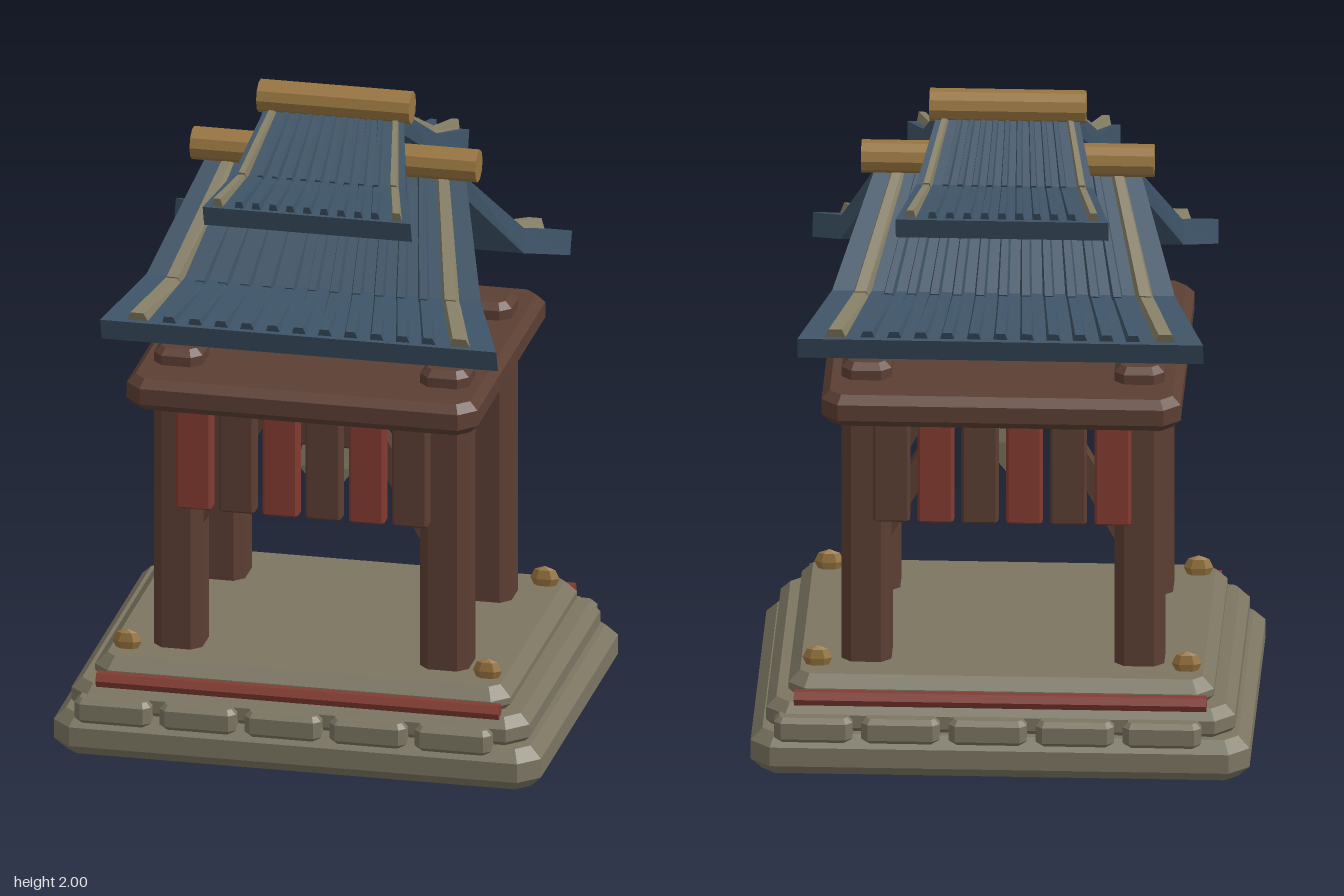
import * as THREE from 'three';

const mat = (name, color) => {
  const m = new THREE.MeshStandardMaterial({ color });
  m.name = name;
  return m;
};

export function createModel() {
  const stone = mat('stone', 0x7b7561);
  const wood = mat('dark wood', 0x5c3f33);
  const red = mat('red paint', 0x843b31);
  const tile = mat('blue tile', 0x3d5366);
  const trim = mat('pale trim', 0x878067);
  const gold = mat('gold', 0x987540);

  const model = new THREE.Group();
  model.name = 'shrine';

  const add = (parent, name, geo, material, x = 0, y = 0, z = 0) => {
    const mesh = new THREE.Mesh(geo, material);
    mesh.name = name;
    mesh.position.set(x, y, z);
    parent.add(mesh);
    return mesh;
  };

  const faceted = (geo) => {
    const g = geo.toNonIndexed();
    g.computeVertexNormals();
    return g;
  };

  // Block with cut corners and bevelled top and bottom, standing on y = 0
  const block = (w, h, d, cut, bevel) => {
    const a = w / 2, b = d / 2;
    const shape = new THREE.Shape([
      [a - cut, -b], [a, -b + cut], [a, b - cut], [a - cut, b],
      [-a + cut, b], [-a, b - cut], [-a, -b + cut], [-a + cut, -b],
    ].map(([x, y]) => new THREE.Vector2(x, y)));
    const g = new THREE.ExtrudeGeometry(shape, {
      depth: h - 2 * bevel, bevelEnabled: true, bevelSegments: 1,
      bevelSize: bevel, bevelThickness: bevel, bevelOffset: -bevel,
    });
    return g.translate(0, 0, bevel).rotateX(-Math.PI / 2);
  };

  // Solid through cross-section loops, capped at both ends
  const loft = (rows) => {
    const pos = [];
    const tri = (...pts) => pts.forEach((p) => pos.push(...p));
    const n = rows[0].length;
    for (let i = 0; i + 1 < rows.length; i++) {
      for (let j = 0; j < n; j++) {
        const k = (j + 1) % n;
        tri(rows[i][j], rows[i][k], rows[i + 1][k]);
        tri(rows[i][j], rows[i + 1][k], rows[i + 1][j]);
      }
    }
    const first = rows[0], last = rows[rows.length - 1];
    for (let j = 1; j + 1 < n; j++) {
      tri(first[0], first[j + 1], first[j]);
      tri(last[0], last[j], last[j + 1]);
    }
    const g = new THREE.BufferGeometry();
    g.setAttribute('position', new THREE.Float32BufferAttribute(pos, 3));
    g.computeVertexNormals();
    return g;
  };

  // Stepped base
  add(model, 'baseSlab', block(1.5, 0.13, 1.17, 0.06, 0.035), stone);
  add(model, 'baseStep', block(1.41, 0.1, 1.08, 0.06, 0.03), stone, 0, 0.115);
  add(model, 'floor', block(1.28, 0.09, 1.0, 0.05, 0.035), stone, 0, 0.2);

  // Front and back trim of the base, banners
  for (const side of [1, -1]) {
    for (let i = 0; i < 5; i++) {
      add(model, 'faceStone', block(0.235, 0.08, 0.09, 0.02, 0.015), stone,
        side * (-0.56 + i * 0.262), 0.107, side * 0.54);
    }
    const rail = faceted(new THREE.CylinderGeometry(0.025, 0.025, 1.24, 6).rotateZ(Math.PI / 2));
    add(model, 'baseRail', rail, red, 0, 0.23, side * 0.51);
    for (let i = 0; i < 6; i++) {
      add(model, 'banner', block(0.11, 0.33, 0.055, 0.008, 0.006), i % 2 ? wood : red,
        -0.335 + i * 0.133, 0.78, side * 0.433);
    }
  }

  // Four posts with caps, braces and corner studs
  for (const sx of [1, -1]) {
    for (const sz of [1, -1]) {
      add(model, 'post', block(0.15, 0.85, 0.15, 0.03, 0.005), wood, sx * 0.41, 0.27, sz * 0.29);
      add(model, 'postCap', block(0.15, 0.07, 0.15, 0.03, 0.02), wood, sx * 0.41, 1.18, sz * 0.29);
      const brace = add(model, 'brace', new THREE.BoxGeometry(0.06, 0.56, 0.06), wood,
        sx * 0.25, 0.9, sz * 0.29);
      brace.rotation.z = sx * 0.5;
      const stud = faceted(new THREE.SphereGeometry(0.045, 6, 4).scale(1, 0.85, 0.4));
      add(model, 'cornerStud', stud, gold, sx * 0.555, 0.313, sz * 0.39);
    }
  }
  add(model, 'topPlate', block(1.08, 0.1, 1.02, 0.05, 0.025), wood, 0, 1.1);

  // Hanging beam, pendant and gold plate
  add(model, 'hangingBeam', block(0.34, 0.21, 0.075, 0.01, 0.008), wood, 0, 0.9, 0.133);
  const pendant = faceted(new THREE.CylinderGeometry(0.08, 0.1, 0.1, 6));
  add(model, 'pendant', pendant.scale(1, 1, 0.2), trim, 0, 0.87, 0.12);
  const tip = faceted(new THREE.ConeGeometry(0.1, 0.115, 6).rotateX(Math.PI));
  add(model, 'pendantTip', tip.scale(1, 1, 0.2), trim, 0, 0.763, 0.12);
  add(model, 'goldPlate', new THREE.BoxGeometry(0.1, 0.12, 0.009), gold, 0, 1.03, 0.188);

  // Roof tier: each section is [top z, top y, bottom z, bottom y, half width]
  const roof = (name, sections, ribs, hip, logY, logHalf) => {
    const tier = new THREE.Group();
    tier.name = name;
    const mix = (a, b, t) => a.map((v, i) => v + (b[i] - v) * t);
    const slab = loft(sections.map(([z, y, zb, yb, w]) =>
      [[-w, yb, zb], [w, yb, zb], [w, y, z], [-w, y, z]]));

    // Raised strip on one stretch of the slope; u is the place across the width
    const rib = (from, to, u, half, h0, h1) => loft([[from, h0], [to, h1]].map(([s, h]) => {
      const [z, y, zb, yb, w] = s;
      const len = Math.hypot(z - zb, y - yb);
      const nz = (z - zb) / len, ny = (y - yb) / len;
      const c = u * w, r = half * w;
      const low = [y - ny * 0.006, z - nz * 0.006], top = [y + ny * h, z + nz * h];
      return [[c - r, ...low], [c + r, ...low], [c + r * 0.6, ...top], [c - r * 0.6, ...top]];
    }));

    for (const turn of [0, Math.PI]) {
      const slope = new THREE.Group();
      slope.name = 'roofSlope';
      slope.rotation.y = turn;
      tier.add(slope);
      add(slope, 'roofSlab', slab, tile);
      for (let k = 0; k < 2; k++) {
        const end = mix(sections[k], sections[k + 1], k ? 0.95 : 1.06);
        for (let i = 0; i < ribs; i++) {
          const u = -0.66 + (1.32 * i) / (ribs - 1);
          add(slope, 'tileRib', rib(sections[k], end, u, 0.42 / ribs, 0.008, 0.024), tile);
        }
        for (const s of [1, -1]) {
          add(slope, 'hipTrim', rib(sections[k], end, s * hip, 0.055, 0.014, 0.03), trim);
        }
      }
    }
    const log = faceted(new THREE.CylinderGeometry(0.05, 0.05, logHalf * 2, 10).rotateZ(Math.PI / 2));
    add(tier, 'ridgeLog', log, gold, 0, logY, 0);
    model.add(tier);
  };

  roof('lowerRoof', [
    [0, 1.74, 0, 1.67, 0.4],
    [0.305, 1.465, 0.275, 1.4, 0.515],
    [0.515, 1.39, 0.49, 1.32, 0.61],
  ], 11, 0.82, 1.78, 0.44);
  roof('upperRoof', [
    [0, 1.93, 0, 1.86, 0.21],
    [0.225, 1.78, 0.195, 1.725, 0.265],
    [0.4, 1.735, 0.38, 1.67, 0.32],
  ], 9, 0.87, 1.95, 0.235);

  return model;
}
